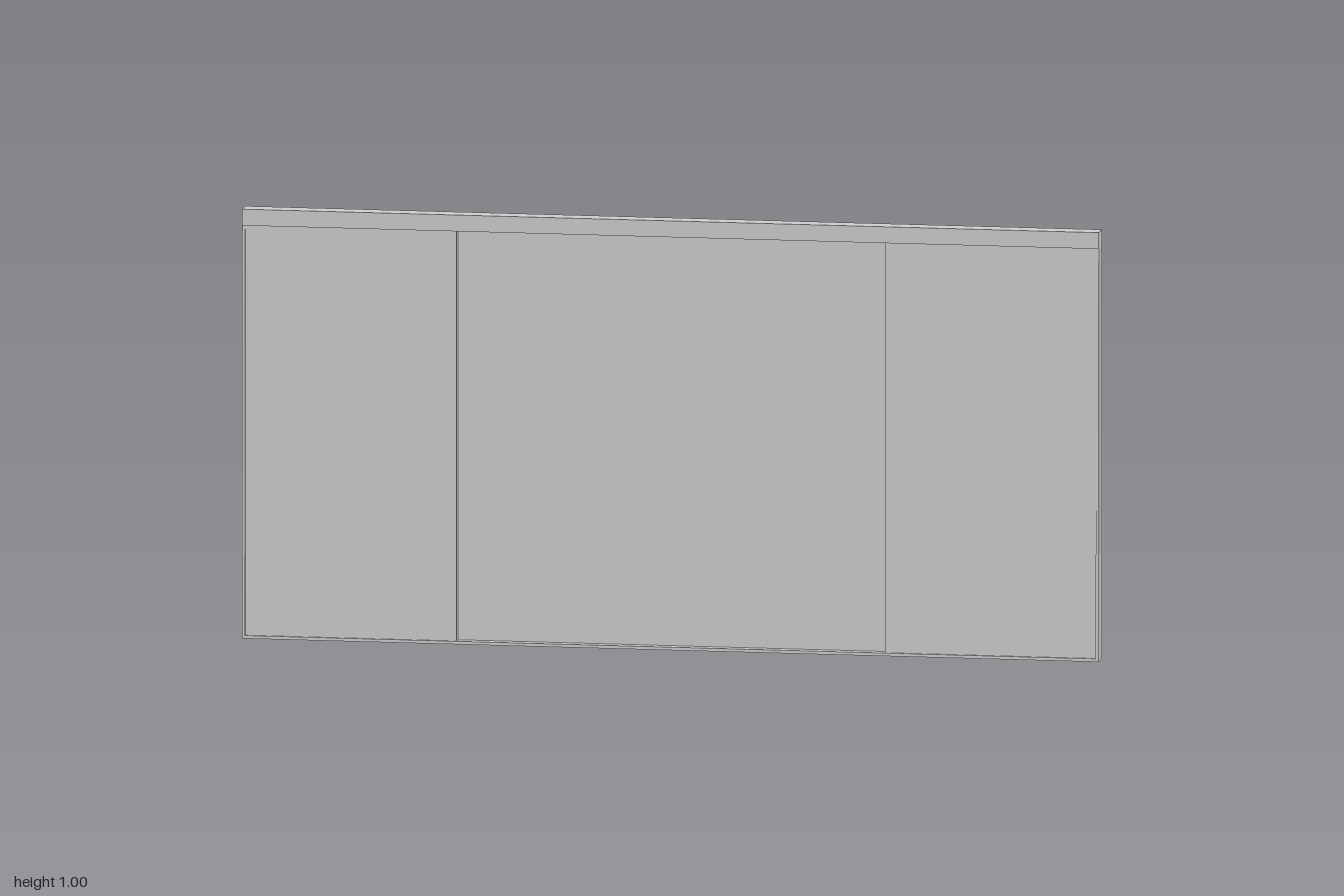
import * as THREE from 'three';

const material = new THREE.MeshStandardMaterial({ color: 0xcccccc, flatShading: true });

const DEPTH = 0.046;     // frame depth at the head rail and sill
const RAIL = 0.038;      // head rail height
const SILL = 0.007;      // sill height
const JAMB = 0.007;      // jamb thickness
const PANEL = 0.018;     // door panel thickness
const TOP = 1 - RAIL;

function box(name, w, h, d, x, y, z) {
  const mesh = new THREE.Mesh(new THREE.BoxGeometry(w, h, d), material);
  mesh.name = name;
  mesh.position.set(x, y, z);
  return mesh;
}

// Jamb whose depth narrows slightly towards the head rail
function jamb(name, side) {
  const b = DEPTH / 2, t = 0.0185;
  const profile = new THREE.Shape([
    new THREE.Vector2(-b, 0), new THREE.Vector2(b, 0),
    new THREE.Vector2(t, TOP), new THREE.Vector2(-t, TOP),
  ]);
  const geometry = new THREE.ExtrudeGeometry(profile, { depth: JAMB, bevelEnabled: false });
  geometry.translate(0, 0, -JAMB / 2);
  geometry.rotateY(Math.PI / 2);
  const mesh = new THREE.Mesh(geometry, material);
  mesh.name = name;
  mesh.position.x = side * (1 - JAMB / 2);
  return mesh;
}

export function createModel() {
  const model = new THREE.Group();
  model.name = 'slidingDoor';

  // Frame
  model.add(box('headRail', 2, RAIL, DEPTH, 0, 1 - RAIL / 2, 0));
  model.add(box('sill', 2 - 2 * JAMB, SILL, DEPTH, 0, SILL / 2, 0));
  model.add(jamb('leftJamb', 1), jamb('rightJamb', -1));

  // Side panels run on the front track, the wide middle panel on the back one
  const h = TOP - SILL, y = SILL + h / 2;
  const sideWidth = 0.5 - JAMB;
  for (const [name, side] of [['leftPanel', 1], ['rightPanel', -1]]) {
    model.add(box(name, sideWidth, h, PANEL, side * (0.5 + sideWidth / 2), y, PANEL / 2));
  }
  model.add(box('middlePanel', 1, h, PANEL, 0, y, -PANEL / 2));

  return model;
}
